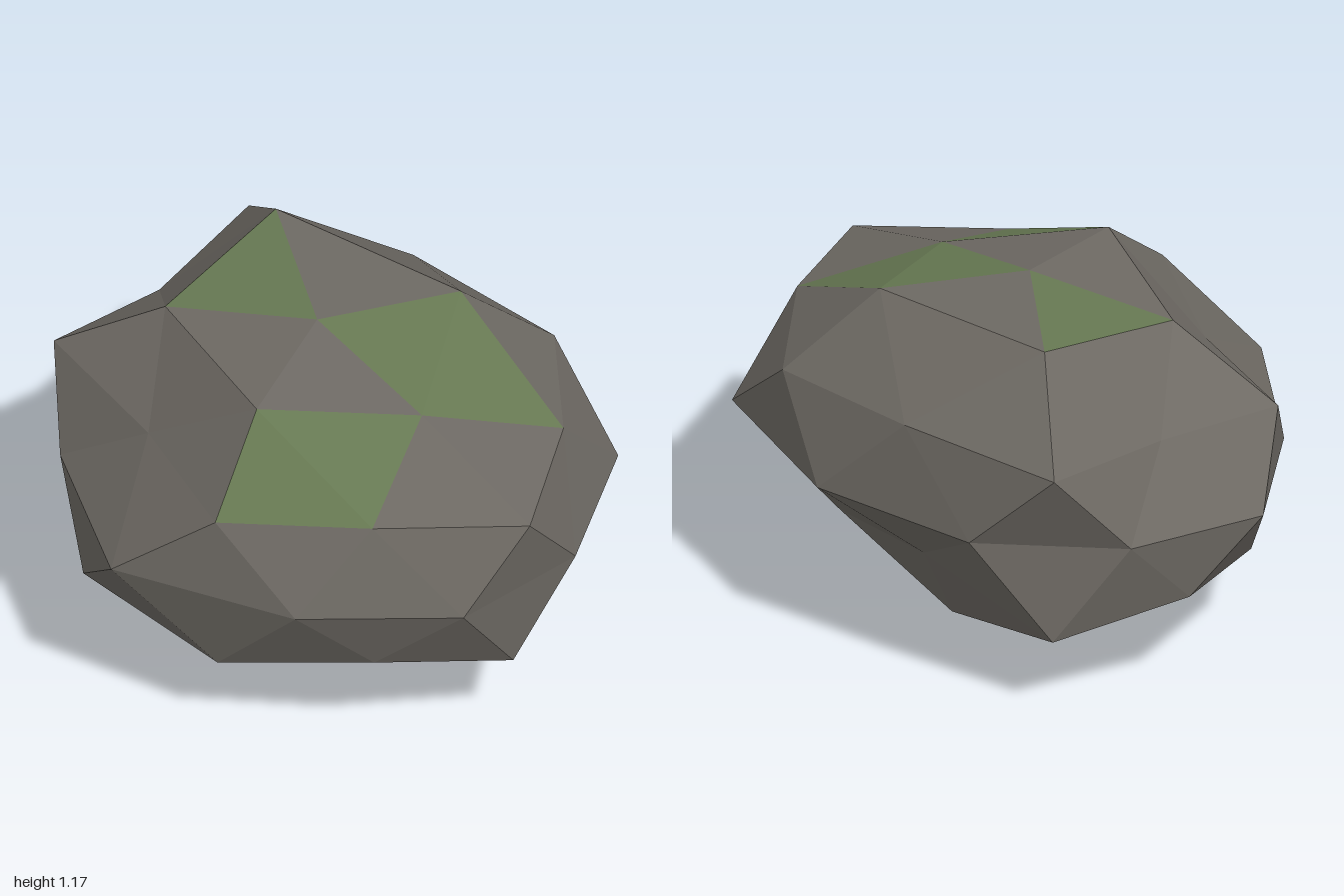
import * as THREE from 'three';

// Boulder: a once-subdivided icosahedron whose corners are pushed in or out, then squashed.
const CENTER = new THREE.Vector3(-0.02, 0.61, -0.04);
const SQUASH = new THREE.Vector3(1, 0.54, 0.785);

// Each ring: start angle in degrees, height on the unit sphere, corner distances.
const RINGS = {
  crown: [0, 0.8507, [0.955, 1.1, 1.058, 1.223, 1.17]],
  shoulder: [0, 0.4472, [1.14, 1.09, 1.078, 1.19, 1.135]],
  shoulderMid: [36, 0.5257, [1.01, 0.85, 0.89, 1.08, 1.06]],
  waist: [18, 0, [1.02, 1.03, 1.16, 0.965, 1.03, 0.98, 1.02, 1.064, 1.13, 1.02]],
  hipMid: [0, -0.5257, [1.105, 1.12, 1.01, 1.17, 0.915]],
  hip: [36, -0.4472, [0.99, 1.12, 1.03, 0.87, 0.89]],
  foot: [36, -0.8507, [1.03, 1.0, 0.97, 1.085, 1.03]],
};

function place(direction, distance) {
  return direction.multiplyScalar(distance).multiply(SQUASH).add(CENTER);
}

function makeRing([start, height, distances]) {
  const radius = Math.sqrt(1 - height * height);
  return distances.map((d, i) => {
    const a = THREE.MathUtils.degToRad(start + (360 / distances.length) * i);
    return place(new THREE.Vector3(radius * Math.cos(a), height, radius * Math.sin(a)), d);
  });
}

// Flat-shaded mesh from triangles, each turned to face outward.
function makeMesh(name, triangles, material) {
  const points = [];
  for (const [a, b, c] of triangles) {
    const normal = b.clone().sub(a).cross(c.clone().sub(a));
    const outward = a.clone().add(b).add(c).divideScalar(3).sub(CENTER);
    points.push(...(normal.dot(outward) > 0 ? [a, b, c] : [a, c, b]));
  }
  const geometry = new THREE.BufferGeometry().setFromPoints(points);
  geometry.computeVertexNormals();
  const mesh = new THREE.Mesh(geometry, material);
  mesh.name = name;
  return mesh;
}

export function createModel() {
  const rockGrey = new THREE.MeshStandardMaterial({ color: 0x6d6963 });
  rockGrey.name = 'rockGrey';
  const mossGreen = new THREE.MeshStandardMaterial({ color: 0x667852 });
  mossGreen.name = 'mossGreen';

  const A = makeRing(RINGS.crown);
  const B = makeRing(RINGS.shoulder);
  const C = makeRing(RINGS.shoulderMid);
  const D = makeRing(RINGS.waist);
  const E = makeRing(RINGS.hipMid);
  const F = makeRing(RINGS.hip);
  const G = makeRing(RINGS.foot);
  const top = place(new THREE.Vector3(0, 1, 0), 1.02);
  const bottom = place(new THREE.Vector3(0, -1, 0), 1.125);

  const rock = [];
  const moss = [];
  // Sectors where each kind of top face is mossy
  const mossCap = [2, 4];
  const mossBand = [0, 4];
  const mossSlope = [0];

  for (let k = 0; k < 5; k++) {
    const n = (k + 1) % 5;
    const d0 = D[2 * k], d1 = D[2 * k + 1], d2 = D[2 * n];

    // Top faces
    (mossCap.includes(k) ? moss : rock).push([top, A[k], A[n]]);
    (mossBand.includes(k) ? moss : rock).push([A[k], C[k], A[n]]);
    (mossSlope.includes(k) ? moss : rock).push([A[n], C[k], B[n]]);
    rock.push([A[k], B[k], C[k]]);

    // Side faces
    rock.push(
      [B[k], C[k], d0], [C[k], B[n], d1], [C[k], d0, d1], [d0, d1, F[k]],
      [B[n], d1, d2], [d1, F[k], E[n]], [d1, E[n], d2], [d2, E[n], F[n]],
    );

    // Underside faces
    rock.push(
      [bottom, G[k], G[n]], [G[k], F[k], E[n]], [G[k], E[n], G[n]], [G[n], E[n], F[n]],
    );
  }

  const model = new THREE.Group();
  model.name = 'mossyBoulder';
  model.add(makeMesh('rock', rock, rockGrey), makeMesh('mossPatches', moss, mossGreen));
  return model;
}
